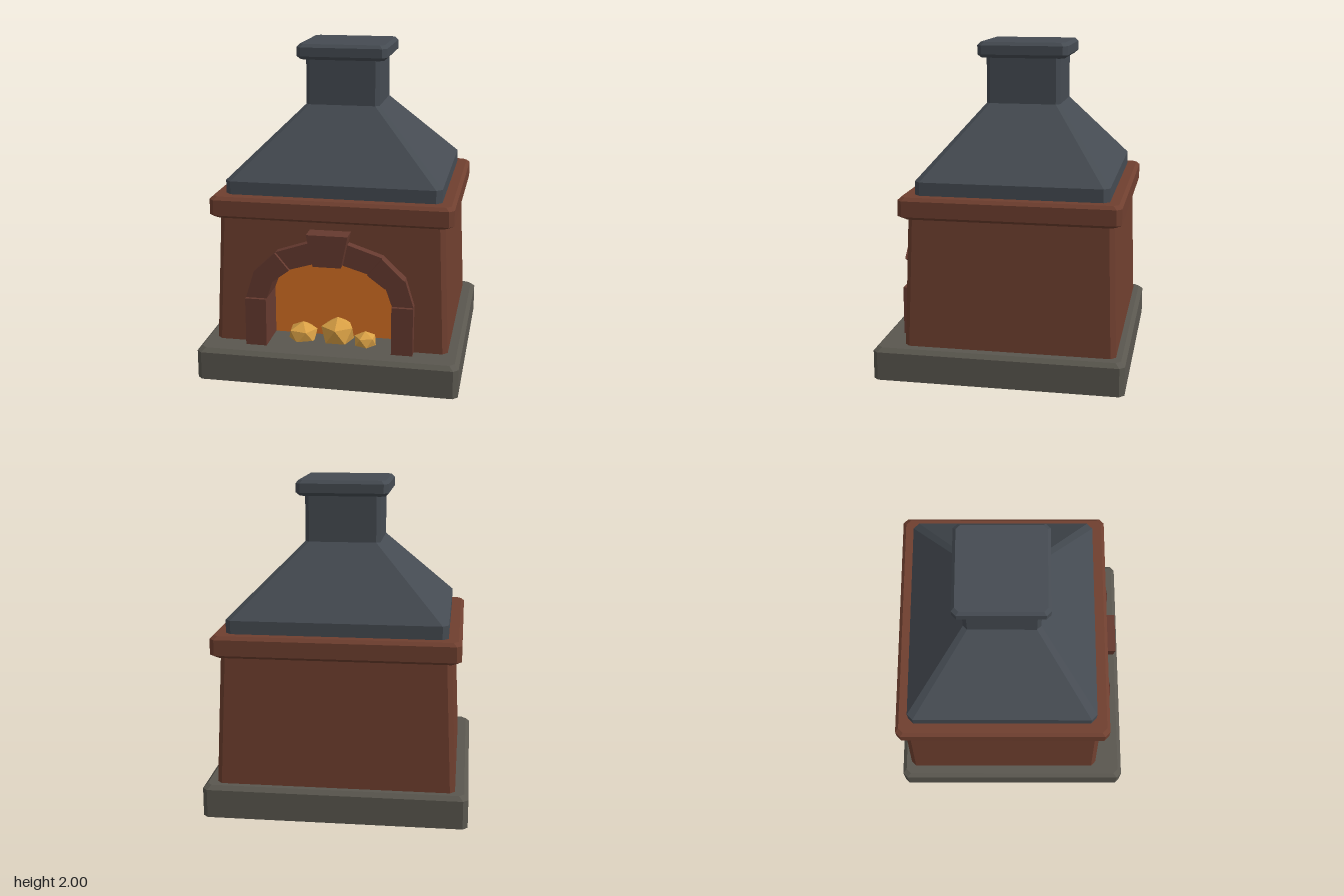
import * as THREE from 'three';

const mat = (name, color, side = THREE.FrontSide) => {
  const m = new THREE.MeshStandardMaterial({ color, side });
  m.name = name;
  return m;
};

// Eight-cornered rectangle with chamfered corners; edge 0 is the front
const ring = ([y, hx, zf, zb, c]) => [
  [-hx + c, zf], [hx - c, zf], [hx, zf - c], [hx, zb + c],
  [hx - c, zb], [-hx + c, zb], [-hx, zb + c], [-hx, zf - c],
].map(([x, z]) => [x, y, z]);

// Flat-faced loft through sections [y, halfWidth, frontZ, backZ, chamfer], bottom to top
function loft(sections, skipFront = false) {
  const rings = sections.map(ring);
  const pos = [];
  const tri = (a, b, c) => pos.push(...a, ...b, ...c);
  for (let s = 0; s < rings.length - 1; s++) {
    const lo = rings[s], hi = rings[s + 1];
    for (let i = skipFront ? 1 : 0; i < 8; i++) {
      const j = (i + 1) % 8;
      tri(lo[i], lo[j], hi[j]);
      tri(lo[i], hi[j], hi[i]);
    }
  }
  const bottom = rings[0], top = rings[rings.length - 1];
  for (let i = 1; i < 7; i++) {
    tri(top[0], top[i], top[i + 1]);
    tri(bottom[0], bottom[i + 1], bottom[i]);
  }
  const g = new THREE.BufferGeometry();
  g.setAttribute('position', new THREE.Float32BufferAttribute(pos, 3));
  g.computeVertexNormals();
  return g;
}

const shapeOf = (pts) => new THREE.Shape(pts.map(([x, y]) => new THREE.Vector2(x, y)));

export function createModel() {
  const model = new THREE.Group();
  model.name = 'fireplace';
  const stone = mat('hearth stone', 0x5a574f);
  const brick = mat('brick', 0x6f3f2f);
  const archBrick = mat('arch brick', 0x663a2f);
  const metal = mat('hood metal', 0x454b52);
  const glow = mat('fire glow', 0xd87024, THREE.DoubleSide);
  const ember = mat('ember', 0xd9a045);

  const add = (name, geometry, material) => {
    const mesh = new THREE.Mesh(geometry, material);
    mesh.name = name;
    model.add(mesh);
    return mesh;
  };

  // Hearth slab
  add('hearthSlab', loft([
    [0, 0.8, 0.76, -0.76, 0.03],
    [0.175, 0.8, 0.76, -0.76, 0.03],
    [0.2, 0.775, 0.735, -0.735, 0.03],
  ]), stone);

  // Tapered brick body, open at the front
  add('brickBody', loft([
    [0.2, 0.72, 0.58, -0.7, 0.03],
    [1.0, 0.685, 0.555, -0.675, 0.03],
  ], true), brick);

  // Front wall with the arched opening cut from its lower edge
  const half = [[0.385, 0.2], [0.385, 0.5], [0.345, 0.615], [0.238, 0.695], [0.088, 0.74]];
  const opening = [...half, ...half.map(([x, y]) => [-x, y]).reverse()];
  const wall = new THREE.ShapeGeometry(shapeOf([
    ...opening.slice().reverse(), [0.69, 0.2], [0.655, 1.0], [-0.655, 1.0], [-0.69, 0.2],
  ]));
  const p = wall.attributes.position;
  for (let i = 0; i < p.count; i++) p.setZ(i, 0.58 - ((p.getY(i) - 0.2) * 0.025) / 0.8);
  wall.computeVertexNormals();
  add('frontWall', wall, brick);

  // Glowing back of the firebox
  const backZ = 0.4;
  add('fireGlow', new THREE.ShapeGeometry(shapeOf(opening)).translate(0, 0, backZ + 0.002), glow);

  // Arch blocks, alternating in projection and running back to form the reveal
  const outer = [[0.515, 0.2], [0.515, 0.5], [0.462, 0.67], [0.325, 0.8], [0.115, 0.87]];
  const block = (name, pts, front) => add(name, new THREE.ExtrudeGeometry(shapeOf(pts), {
    depth: front - backZ, bevelEnabled: false,
  }).translate(0, 0, backZ), archBrick);
  for (const side of [1, -1]) {
    for (let i = 0; i < 4; i++) {
      const pts = [half[i], outer[i], outer[i + 1], half[i + 1]].map(([x, y]) => [x * side, y]);
      block((side > 0 ? 'left' : 'right') + 'ArchBlock' + (i + 1), pts, i % 2 ? 0.62 : 0.642);
    }
  }
  block('keystone', [[-0.085, 0.74], [0.085, 0.74], [0.125, 0.935], [-0.125, 0.935]], 0.672);

  // Brick mantel band
  add('mantelBand', loft([
    [0.985, 0.71, 0.575, -0.69, 0.03],
    [1.005, 0.74, 0.605, -0.72, 0.03],
    [1.1, 0.74, 0.605, -0.72, 0.03],
    [1.12, 0.72, 0.585, -0.7, 0.03],
  ]), brick);

  // Metal hood with flue
  add('hood', loft([
    [1.12, 0.66, 0.52, -0.642, 0.035],
    [1.2, 0.66, 0.52, -0.642, 0.035],
    [1.625, 0.23, 0.17, -0.288, 0.025],
    [1.91, 0.23, 0.17, -0.288, 0.025],
  ]), metal);
  add('flueCap', loft([
    [1.905, 0.26, 0.198, -0.315, 0.025],
    [1.925, 0.28, 0.218, -0.338, 0.028],
    [1.98, 0.28, 0.218, -0.338, 0.028],
    [2.0, 0.262, 0.2, -0.32, 0.025],
  ]), metal);

  // Faceted embers: x, y, z, radius, vertical squash, turn
  [
    [-0.193, 0.225, 0.47, 0.1, 0.8, 0.4],
    [0.025, 0.245, 0.46, 0.115, 0.88, 0],
    [0.207, 0.225, 0.51, 0.075, 0.8, 0.9],
  ].forEach(([x, y, z, r, squash, turn], i) => {
    const g = new THREE.IcosahedronGeometry(r, 0)
      .rotateX(-Math.atan((1 + Math.sqrt(5)) / 2))
      .rotateY(turn).scale(1, squash, 1).translate(x, y, z);
    g.computeVertexNormals();
    add('ember' + (i + 1), g, ember);
  });

  return model;
}
